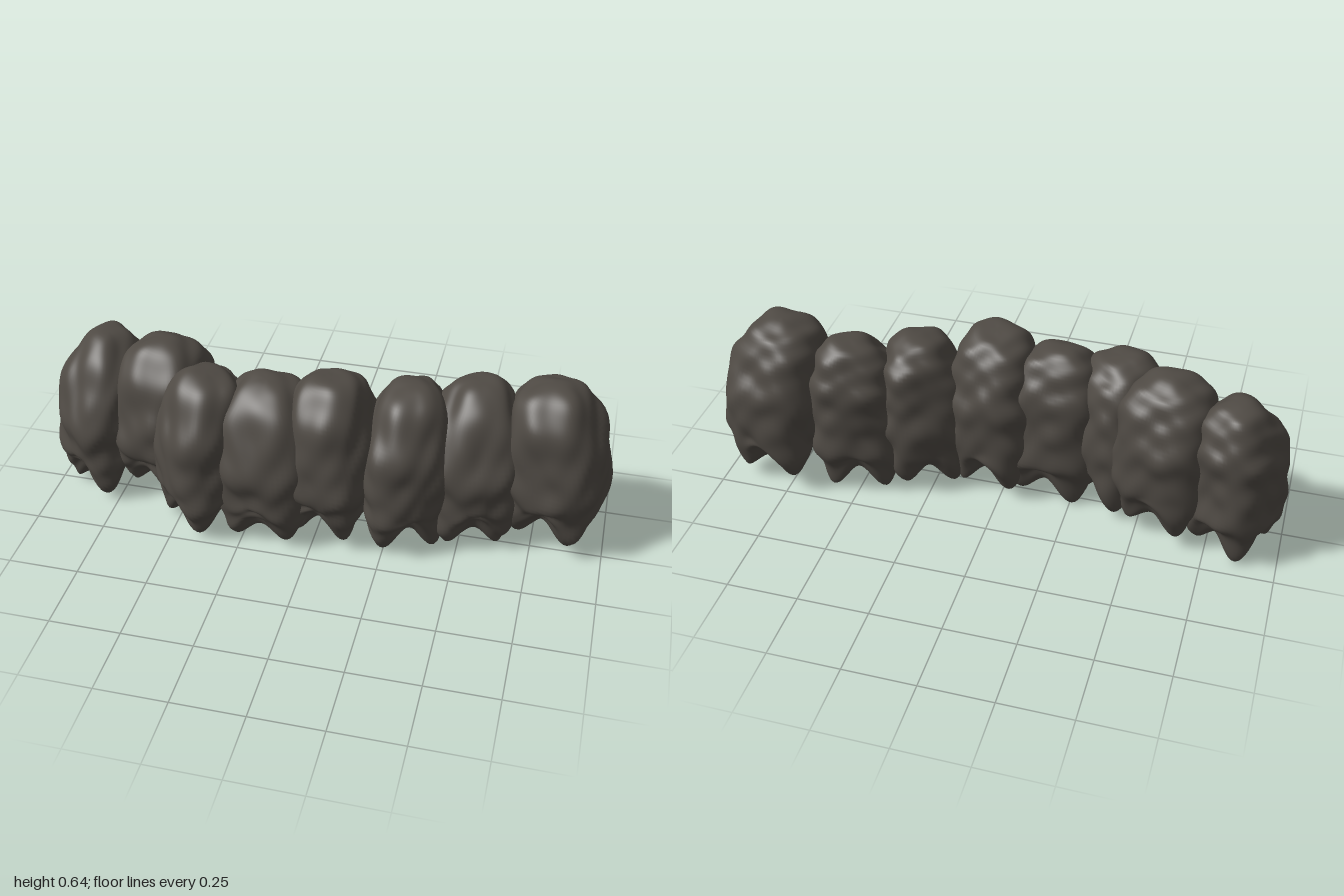
import * as THREE from 'three';
import { mergeVertices } from 'three/addons/utils/BufferGeometryUtils.js';

// One row per boulder: x range, y range, z range, crown position (x, z), turn about the vertical
const BOULDERS = [
  [-1.00, -0.65, 0.01, 0.605, -0.255, 0.14, -0.80, -0.10, 0.5],
  [-0.78, -0.40, 0.05, 0.635, -0.235, 0.15, -0.58, -0.06, 0.3],
  [-0.59, -0.22, 0.01, 0.605, -0.12, 0.275, -0.39, 0.06, 0.7],
  [-0.37, 0.03, 0.00, 0.605, -0.10, 0.265, -0.18, 0.06, 0.1],
  [-0.13, 0.21, 0.03, 0.64, -0.14, 0.25, 0.04, 0.05, 0.15],
  [0.12, 0.47, 0.01, 0.605, -0.18, 0.215, 0.31, -0.02, -0.4],
  [0.34, 0.71, 0.01, 0.605, -0.235, 0.13, 0.52, -0.09, -0.25],
  [0.61, 1.00, 0.04, 0.64, -0.285, 0.105, 0.77, -0.08, 0.2],
];

const { mapLinear, smoothstep, lerp } = THREE.MathUtils;

// A squarish barrel of stone with a lumpy skin and a blunt foot under each corner
function boulderGeometry([x0, x1, y0, y1, z0, z1, crownX, crownZ, turn], seed) {
  let geo = new THREE.SphereGeometry(1, 72, 56);
  geo.deleteAttribute('uv');
  geo.deleteAttribute('normal');
  geo = mergeVertices(geo, 1e-4);
  const pos = geo.attributes.position;
  const v = new THREE.Vector3();

  for (let i = 0; i < pos.count; i++) {
    v.fromBufferAttribute(pos, i);
    const angle = Math.atan2(v.z, v.x);
    const ring = Math.min(1, Math.hypot(v.x, v.z));
    const low = smoothstep(-v.y, 0.25, 0.85);

    // layered waves give rounded lumps
    const lumps =
      0.035 * Math.sin(5.1 * v.x + seed * 2.3) * Math.sin(6.3 * v.y + seed * 1.7) +
      0.035 * Math.sin(5.7 * v.z + seed * 3.1) * Math.cos(7.9 * v.y - seed) +
      0.025 * Math.sin(9.0 * v.x - seed) * Math.cos(9.6 * v.z + 12.5 * v.y + seed * 2) +
      0.015 * Math.sin(14.5 * v.y + 4 * v.z + seed * 4.1) * ring;

    // rounded-square plan with its corners over the feet
    const c = Math.abs(Math.cos(angle - turn));
    const s = Math.abs(Math.sin(angle - turn));
    const plan = Math.pow(c ** 2.7 + s ** 2.7, -1 / 2.7);
    const notch = 0.5 + 0.5 * Math.cos(4 * (angle - turn));
    const width = plan * Math.pow(ring, v.y > 0 ? 0.75 : 0.45) * (1 + lumps - 0.06 * low * notch);

    // notches between the feet and a hollow beneath
    const raise = low * lerp(0.3, 0.32 * notch, smoothstep(ring, 0, 0.55));
    const y = v.y * (1 + 0.6 * lumps) + raise;
    pos.setXYZ(i, Math.cos(angle) * width, y, Math.sin(angle) * width);
  }

  // place it in the row and lean the crown
  geo.computeBoundingBox();
  const { min, max } = geo.boundingBox;
  for (let i = 0; i < pos.count; i++) {
    v.fromBufferAttribute(pos, i);
    const y = mapLinear(v.y, min.y, max.y, y0, y1);
    const lean = smoothstep(y, 0.25, 0.64);
    pos.setXYZ(i,
      mapLinear(v.x, min.x, max.x, x0, x1) + lean * (crownX - (x0 + x1) / 2),
      y,
      mapLinear(v.z, min.z, max.z, z0, z1) + lean * (crownZ - (z0 + z1) / 2));
  }
  geo.computeVertexNormals();
  return geo;
}

export function createModel() {
  const group = new THREE.Group();
  group.name = 'rockWall';
  const stone = new THREE.MeshStandardMaterial({ color: 0x4f4a44 });
  stone.name = 'darkStone';

  // curved row of overlapping boulders
  BOULDERS.forEach((row, i) => {
    const boulder = new THREE.Mesh(boulderGeometry(row, i + 1), stone);
    boulder.name = `boulder${i + 1}`;
    group.add(boulder);
  });
  return group;
}
